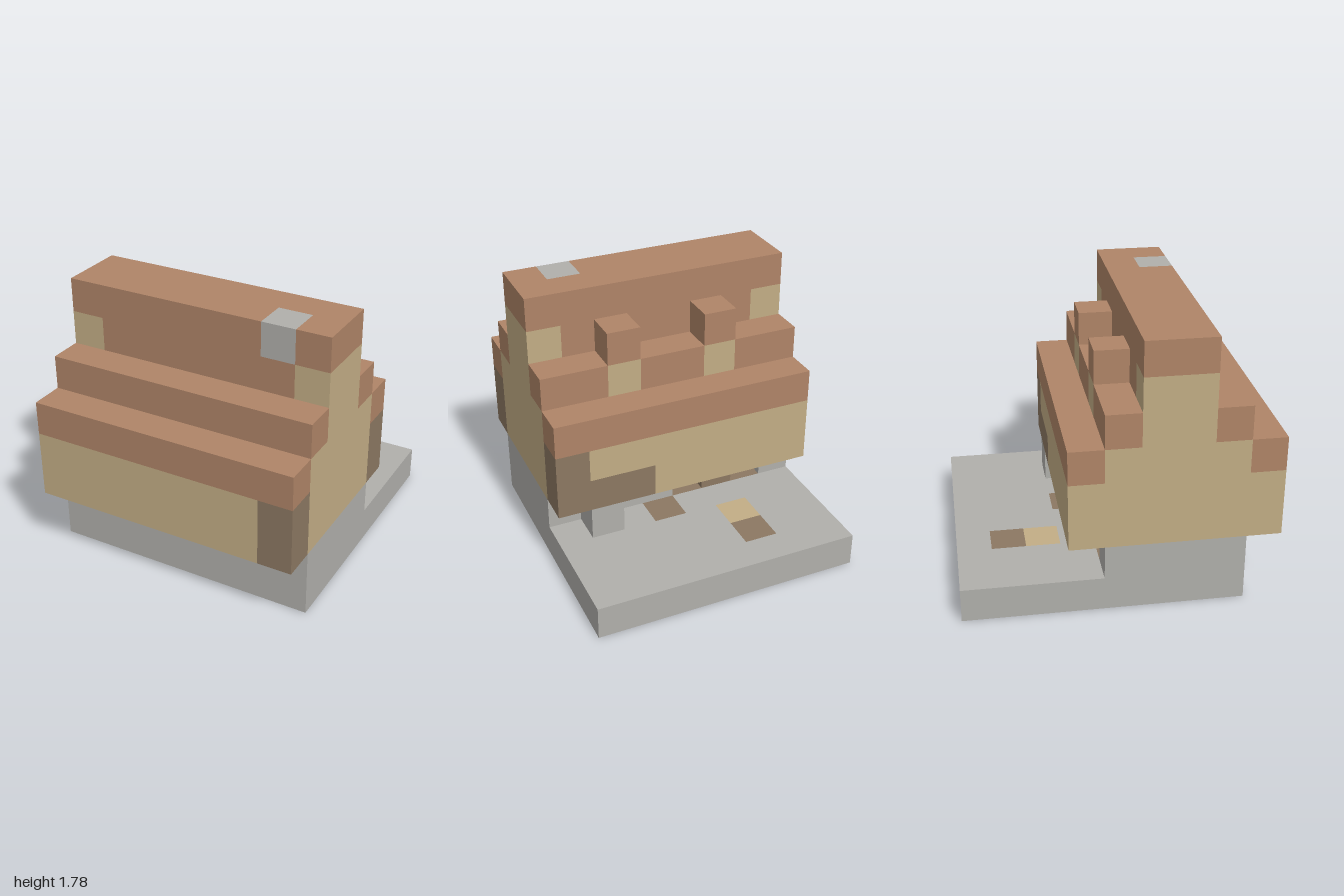
import * as THREE from 'three';
import { mergeGeometries } from 'three/addons/utils/BufferGeometryUtils.js';

const U = 2 / 9;          // edge of one block
const LENGTH = 8;         // blocks along x
const DEPTH = 9;          // blocks along z

const material = (name, color) => {
  const m = new THREE.MeshStandardMaterial({ color, side: THREE.DoubleSide });
  m.name = name;
  return m;
};

const FRONT = new THREE.Vector3(0, 0, 1);
const DIRECTIONS = ['x', 'y', 'z'].flatMap((axis) =>
  [1, -1].map((sign) => new THREE.Vector3().setComponent('xyz'.indexOf(axis), sign)));

// One square face of a block, on the side given by dir
function blockFace(cell, dir) {
  const turn = new THREE.Quaternion().setFromUnitVectors(FRONT, dir);
  const centre = cell.clone().addScalar(0.5).addScaledVector(dir, 0.5);
  centre.x -= LENGTH / 2;
  centre.z -= DEPTH / 2;
  centre.multiplyScalar(U);
  return new THREE.PlaneGeometry(U, U).applyQuaternion(turn).translate(centre.x, centre.y, centre.z);
}

export function createModel() {
  const stone = material('stone grey', 0xb0afab);
  const plaster = material('plaster tan', 0xc2ad85);
  const timber = material('timber brown', 0x8c7862);
  const tile = material('roof terracotta', 0xaf8467);

  const cells = new Map();
  const key = (v) => `${v.x},${v.y},${v.z}`;

  // Calls visit for every block from corner (x, y, z) over the given size
  function eachBlock(x, y, z, w, h, d, visit) {
    for (let i = 0; i < w; i++)
      for (let j = 0; j < h; j++)
        for (let k = 0; k < d; k++) visit(new THREE.Vector3(x + i, y + j, z + k));
  }
  // Fills blocks with a part; later parts replace earlier ones
  const fill = (name, mat, x, y, z, w = 1, h = 1, d = 1) =>
    eachBlock(x, y, z, w, h, d, (cell) => cells.set(key(cell), { name, mat, cell }));

  // Ground slab and foundation, with an open porch at the back
  fill('groundSlab', stone, 0, 0, 0, LENGTH, 1, 8);
  fill('foundation', stone, 0, 1, 4, LENGTH, 1, 4);
  eachBlock(1, 1, 4, 3, 1, 2, (cell) => cells.delete(key(cell)));
  fill('porchFloor', timber, 1, 0, 4, 3, 1, 2);
  fill('porchPost', timber, 2, 1, 4);
  fill('stonePier', stone, 6, 1, 3);

  // Patches on the ground behind the house
  fill('pathTimber', timber, 2, 0, 1);
  fill('pathTimber', timber, 4, 0, 3);
  fill('pathSand', plaster, 2, 0, 2);

  // Walls with timber corners on the left end and a low beam at the back
  fill('walls', plaster, 0, 2, 3, LENGTH, 2, 6);
  for (const z of [3, 8]) fill('cornerTimbers', timber, 7, 2, z, 1, 2);
  fill('backBeam', timber, 5, 2, 3, 2);

  // Roof courses step inwards, and the gable walls fill the space under them
  for (let step = 0; step < 3; step++) {
    fill('roofCourses', tile, 0, 4 + step, 3 + step, LENGTH, 1, 6 - 2 * step);
    fill('gables', plaster, 0, 4 + step, 4 + step, LENGTH, 1, 4 - 2 * step);
  }
  for (const x of [0, LENGTH - 1]) fill('gables', plaster, x, 6, 5, 1, 1, 2);
  fill('ridge', tile, 0, 7, 5, LENGTH, 1, 2);
  fill('chimney', stone, 6, 7, 6);

  // Pair of dormers on the back slope
  for (const x of [2, 5]) {
    fill('dormerWalls', plaster, x, 5, 4);
    fill('dormerRoofs', tile, x, 6, 4);
  }

  // Keep only the outer faces of each part; the underside stays open
  const faces = new Map();
  for (const { name, mat, cell } of cells.values()) {
    for (const dir of DIRECTIONS) {
      const next = cell.clone().add(dir);
      if (next.y < 0 || cells.has(key(next))) continue;
      if (!faces.has(name)) faces.set(name, { mat, list: [] });
      faces.get(name).list.push(blockFace(cell, dir));
    }
  }

  const house = new THREE.Group();
  house.name = 'house';
  for (const [name, { mat, list }] of faces) {
    const mesh = new THREE.Mesh(mergeGeometries(list), mat);
    mesh.name = name;
    house.add(mesh);
  }
  return house;
}
